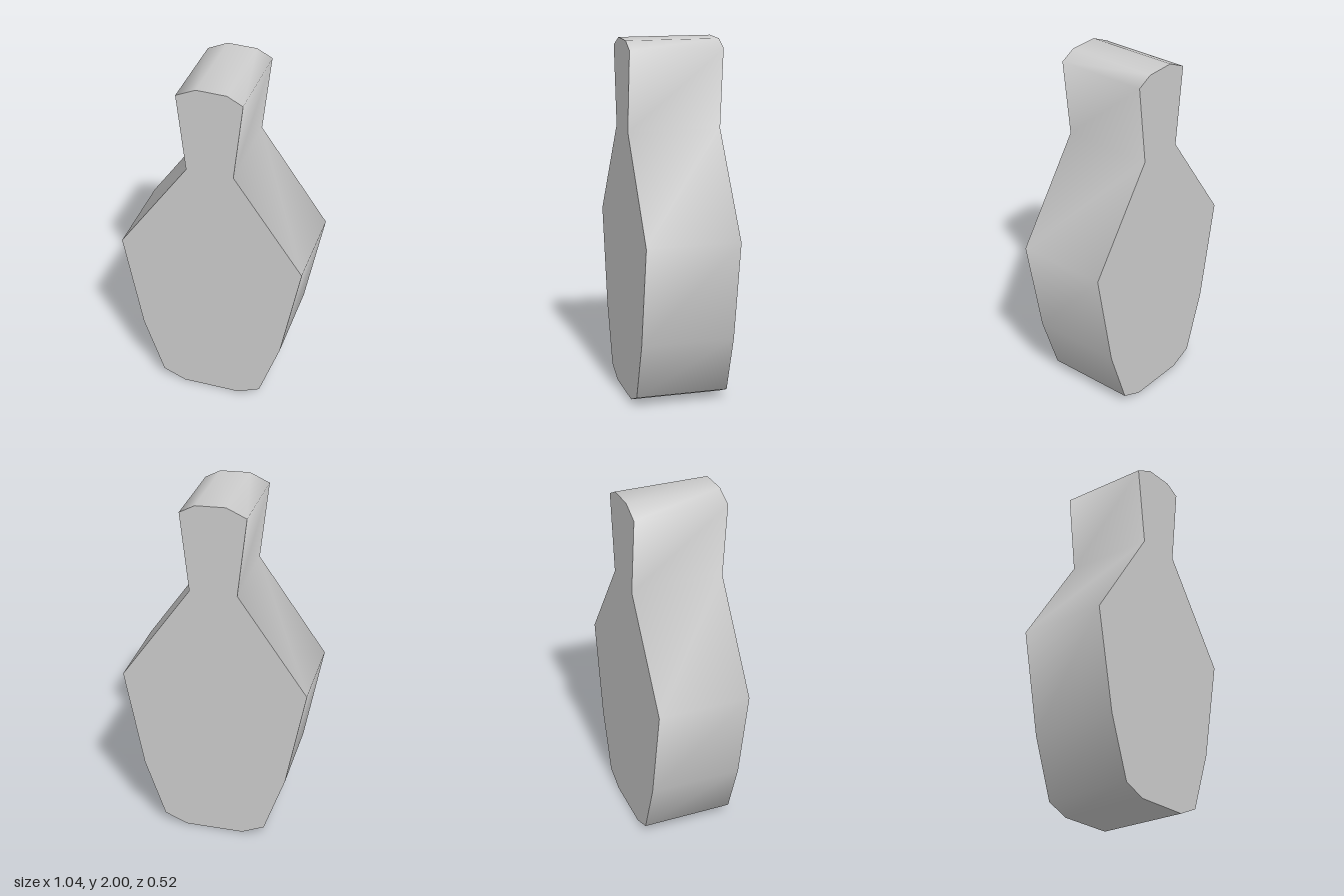
import * as THREE from 'three';
import { toCreasedNormals } from 'three/addons/utils/BufferGeometryUtils.js';

export function createModel() {
  const group = new THREE.Group();
  group.name = 'pinBlock';

  const grey = new THREE.MeshStandardMaterial({ color: 0xcccccc });
  grey.name = 'light grey';

  // Right half of the outline, from base to shoulder of the head
  const half = [
    [0.165, 0.005], [0.293, 0.055], [0.41, 0.39], [0.518, 0.955], [0.13, 1.51], [0.18, 1.95],
  ];
  const mirrored = half.map(([x, y]) => [-x, y]).reverse();
  // The crown of the head is slightly uneven
  const crown = [[0.095, 1.995], [-0.07, 2]];
  const outline = [...half, ...crown, ...mirrored].map(([x, y]) => new THREE.Vector2(x, y));
  outline[0].y = outline[outline.length - 1].y = 0;

  // Flat front and back, rim shaded smoothly all the way round
  const depth = 0.52;
  const slab = new THREE.ExtrudeGeometry(new THREE.Shape(outline), { depth, bevelEnabled: false });
  slab.translate(0, 0, -depth / 2);

  const body = new THREE.Mesh(toCreasedNormals(slab, THREE.MathUtils.degToRad(80)), grey);
  body.name = 'pinBody';
  group.add(body);
  return group;
}
